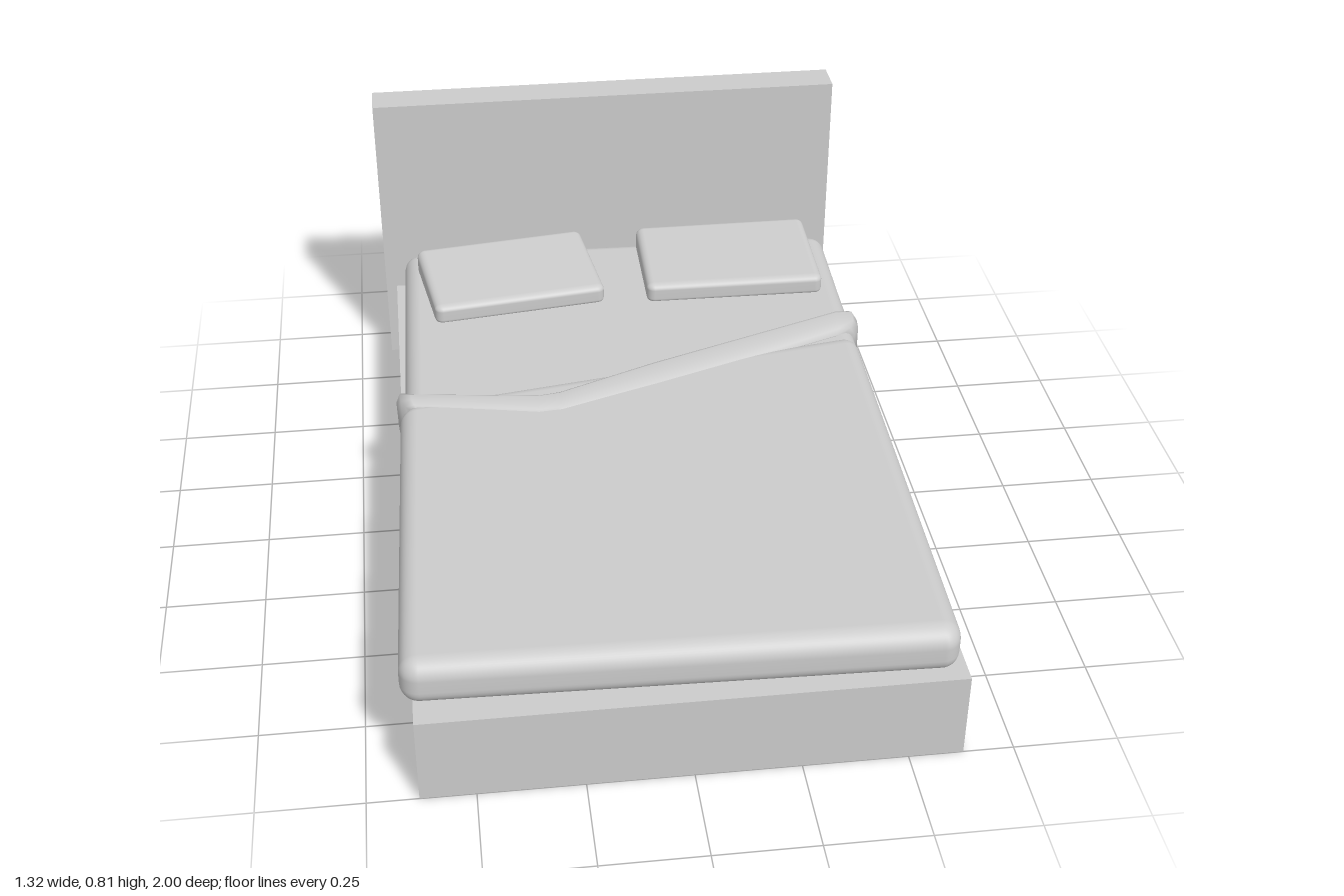
import * as THREE from 'three';
import { RoundedBoxGeometry } from 'three/addons/geometries/RoundedBoxGeometry.js';
import { mergeVertices } from 'three/addons/utils/BufferGeometryUtils.js';

const material = new THREE.MeshStandardMaterial({ color: 0xcccccc });
const lerp = THREE.MathUtils.lerp;

function add(group, name, geometry) {
  const mesh = new THREE.Mesh(geometry, material);
  mesh.name = name;
  group.add(mesh);
}

// Sharp box given by its limits
function block(x, y0, y1, z0, z1) {
  return new THREE.BoxGeometry(2 * x, y1 - y0, z1 - z0).translate(0, (y0 + y1) / 2, (z0 + z1) / 2);
}

// Soft slab stretched onto four plan corners [x, z]: back -x, back +x, front +x, front -x
function slab([bl, br, fr, fl], y0, topBack, topFront, radius) {
  const w = br[0] - bl[0], d = fl[1] - bl[1], h = topBack - y0;
  let g = new RoundedBoxGeometry(w, h, d, 5, radius);
  const p = g.attributes.position;
  for (let i = 0; i < p.count; i++) {
    const u = p.getX(i) / w + 0.5, v = p.getZ(i) / d + 0.5, t = p.getY(i) / h + 0.5;
    p.setXYZ(i,
      lerp(lerp(bl[0], br[0], u), lerp(fl[0], fr[0], u), v),
      lerp(y0, lerp(topBack, topFront, v), t),
      lerp(lerp(bl[1], br[1], u), lerp(fl[1], fr[1], u), v));
  }
  g.deleteAttribute('normal');
  g.deleteAttribute('uv');
  g = mergeVertices(g, 1e-5);
  g.computeVertexNormals();
  return g;
}

// Folded-back duvet edge: a band draped across the bed
function foldBand() {
  // each station: outer x, y, inner x, y, back z, front z
  const stations = [
    [-0.638, 0.235, -0.60, 0.235, -0.16, -0.08],
    [-0.640, 0.310, -0.60, 0.300, -0.16, -0.08],
    [-0.630, 0.342, -0.59, 0.325, -0.15, -0.075],
    [-0.600, 0.357, -0.58, 0.335, -0.12, -0.065],
    [-0.270, 0.360, -0.27, 0.335, -0.07, 0.00],
    [-0.210, 0.360, -0.21, 0.335, -0.08, -0.005],
    [0.050, 0.361, 0.05, 0.335, -0.19, -0.095],
    [0.590, 0.361, 0.57, 0.335, -0.39, -0.29],
    [0.635, 0.354, 0.59, 0.325, -0.40, -0.305],
    [0.652, 0.325, 0.60, 0.300, -0.40, -0.31],
    [0.652, 0.235, 0.60, 0.235, -0.40, -0.31],
  ];
  // ring around the band: [back to front, inner to outer]
  const ring = [[0, 0], [0, 0.6], [0.04, 0.88], [0.14, 1], [0.55, 0.93], [0.85, 0.65], [1, 0.2], [1, 0]];
  const n = ring.length, pos = [], index = [];
  for (const [ox, oy, ix, iy, zb, zf] of stations)
    for (const [t, s] of ring) pos.push(lerp(ix, ox, s), lerp(iy, oy, s), lerp(zb, zf, t));
  for (let i = 0; i < stations.length - 1; i++)
    for (let j = 0; j < n; j++) {
      const a = i * n + j, b = i * n + (j + 1) % n;
      index.push(a, b, a + n, b, b + n, a + n);
    }
  // closed ends
  const last = (stations.length - 1) * n;
  for (let j = 1; j < n - 1; j++) index.push(0, j + 1, j, last, last + j, last + j + 1);
  const g = new THREE.BufferGeometry();
  g.setAttribute('position', new THREE.Float32BufferAttribute(pos, 3));
  g.setIndex(index);
  g.computeVertexNormals();
  return g;
}

export function createModel() {
  const bed = new THREE.Group();
  bed.name = 'bed';

  // Frame
  add(bed, 'headboard', block(0.66, 0, 0.81, -1, -0.9));
  add(bed, 'bedBase', block(0.63, 0.06, 0.225, -0.9, 1));
  add(bed, 'frontFoot', block(0.63, 0, 0.06, 0.9, 1));

  // Bedding, lying slightly askew
  add(bed, 'mattress', slab([[-0.60, -0.905], [0.645, -0.87], [0.60, 0.96], [-0.64, 0.93]], 0.225, 0.338, 0.338, 0.045));
  add(bed, 'duvet', slab([[-0.63, -0.09], [0.63, -0.30], [0.612, 0.987], [-0.658, 0.95]], 0.225, 0.347, 0.347, 0.045));
  add(bed, 'duvetFold', foldBand());

  // Pillows
  add(bed, 'rightPillow', slab([[-0.565, -0.79], [-0.085, -0.855], [-0.04, -0.55], [-0.52, -0.487]], 0.33, 0.411, 0.386, 0.022));
  add(bed, 'leftPillow', slab([[0.08, -0.848], [0.578, -0.848], [0.58, -0.527], [0.078, -0.533]], 0.33, 0.411, 0.388, 0.022));

  return bed;
}
